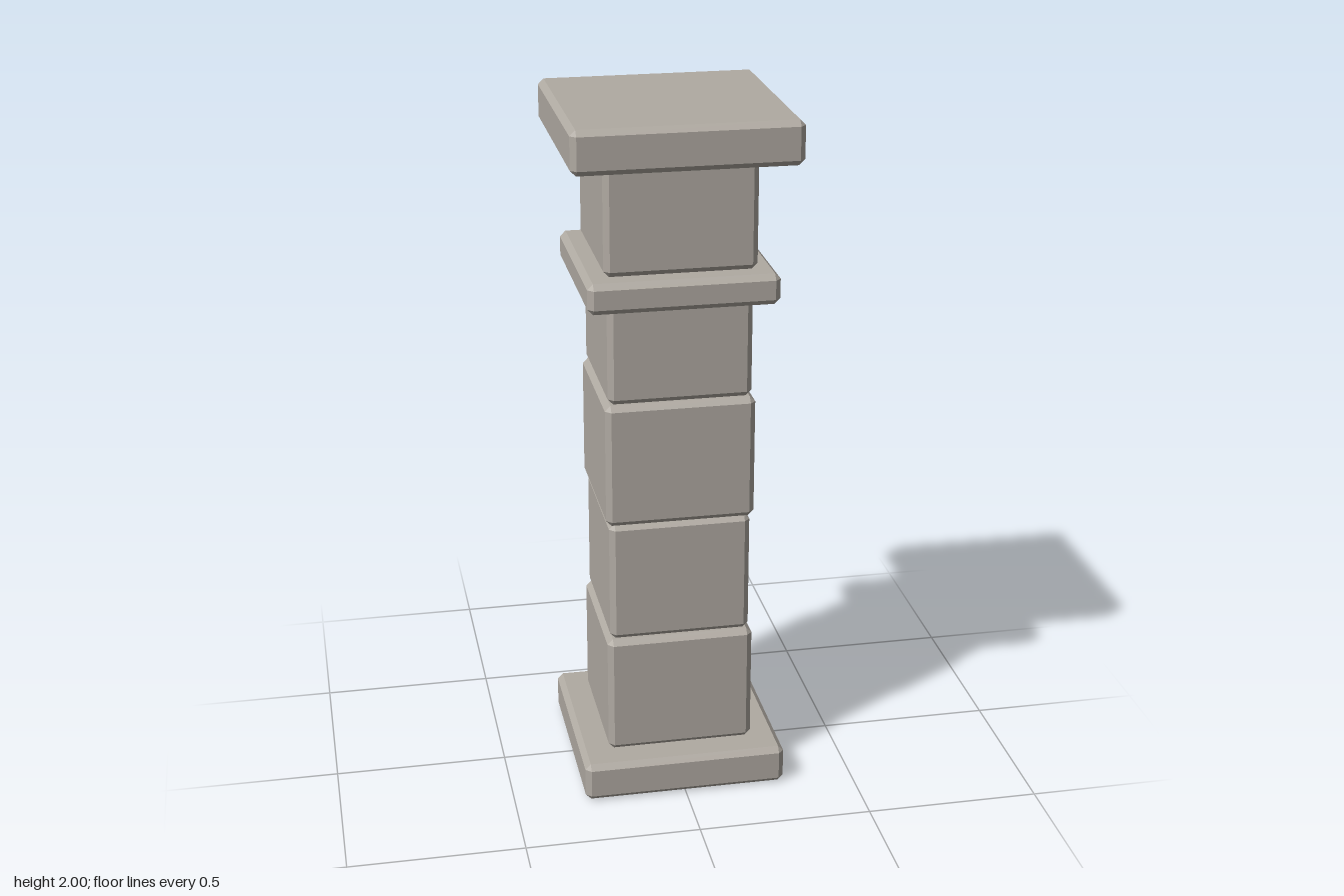
import * as THREE from 'three';
import { ConvexGeometry } from 'three/addons/geometries/ConvexGeometry.js';

const BEVEL = 0.016;

// Square block with every edge chamfered and triangular corners
function chamferedBlock(half, height, bevel) {
  const points = [];
  const h = height / 2;
  for (const sx of [-1, 1]) for (const sy of [-1, 1]) for (const sz of [-1, 1]) {
    const a = half - bevel, b = h - bevel;
    points.push(
      new THREE.Vector3(sx * half, sy * b, sz * a),
      new THREE.Vector3(sx * a, sy * h, sz * a),
      new THREE.Vector3(sx * a, sy * b, sz * half)
    );
  }
  return new ConvexGeometry(points);
}

export function createModel() {
  const group = new THREE.Group();
  group.name = 'stonePillar';
  const stone = new THREE.MeshStandardMaterial({ color: 0xb0aaa2, flatShading: true });

  // Courses from the ground up: name, half width, bottom, top
  const courses = [
    ['base', 0.295, 0, 0.115],
    ['shaftBlock1', 0.2125, 0.115, 0.472],
    ['shaftBlock2', 0.203, 0.472, 0.832],
    ['shaftBlock3', 0.2125, 0.832, 1.195],
    ['shaftBlock4', 0.203, 1.195, 1.48],
    ['collar', 0.265, 1.48, 1.567],
    ['neckBlock', 0.2125, 1.567, 1.877],
    ['capital', 0.3125, 1.877, 2],
  ];
  for (const [name, half, bottom, top] of courses) {
    const mesh = new THREE.Mesh(chamferedBlock(half, top - bottom, BEVEL), stone);
    mesh.name = name;
    mesh.position.y = (bottom + top) / 2;
    group.add(mesh);
  }
  return group;
}
